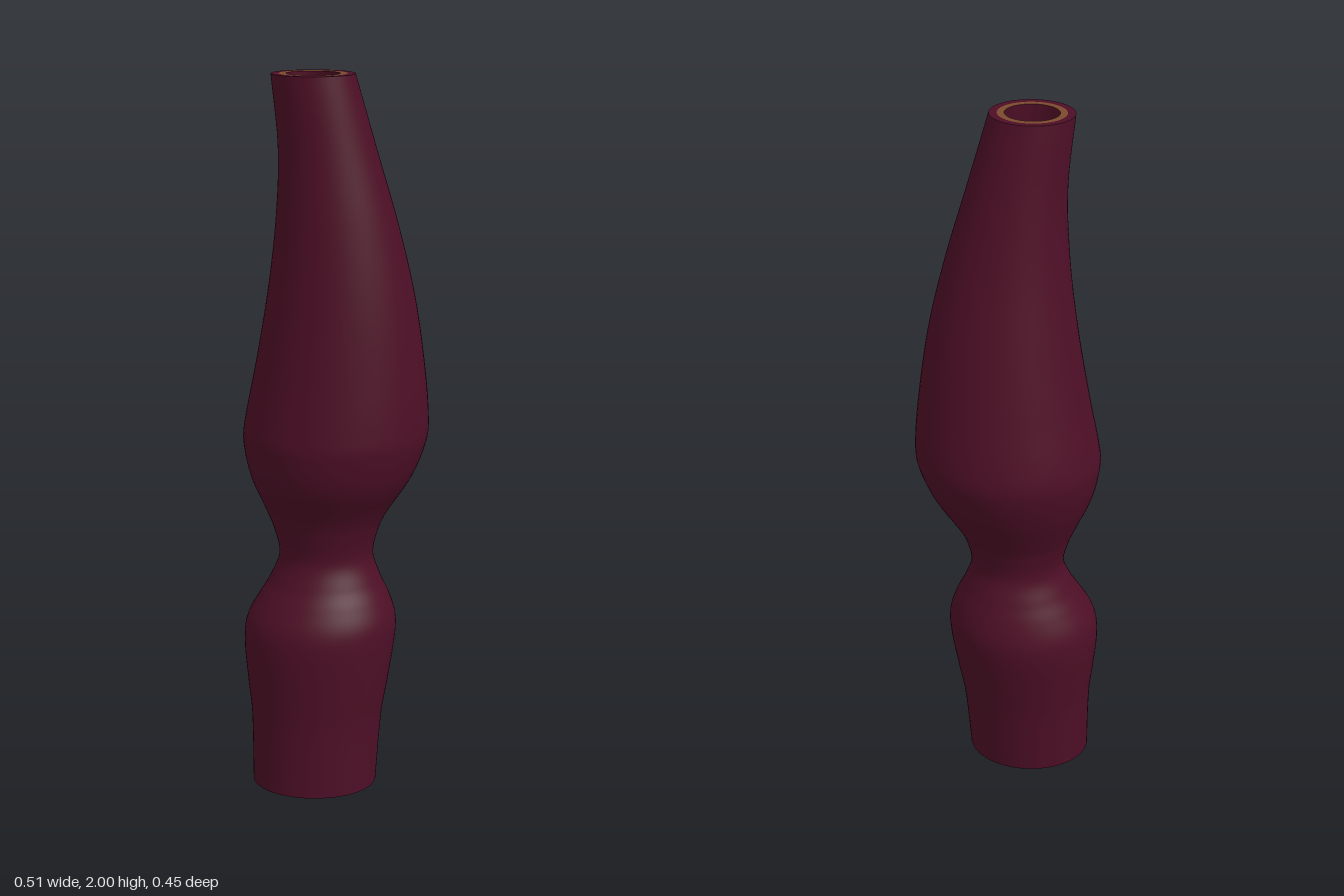
import * as THREE from 'three';

const maroon = new THREE.MeshStandardMaterial({ color: 0x4e0f26 });
maroon.name = 'dark maroon';
const tan = new THREE.MeshStandardMaterial({ color: 0x7c4a2e });
tan.name = 'tan core';

// Cross-sections: height, x min, x max, z min, z max, bore fraction
const SECTIONS = [
  [0.0, -0.235, 0.114, -0.102, 0.19, 0.64],
  [0.2, -0.238, 0.13, -0.127, 0.193, 0.64],
  [0.3, -0.248, 0.147, -0.145, 0.2, 0.63],
  [0.4, -0.257, 0.163, -0.163, 0.206, 0.62],
  [0.46, -0.255, 0.169, -0.168, 0.205, 0.61],
  [0.5, -0.243, 0.166, -0.163, 0.196, 0.6],
  [0.55, -0.214, 0.149, -0.149, 0.174, 0.57],
  [0.6, -0.184, 0.126, -0.13, 0.149, 0.54],
  [0.67, -0.158, 0.104, -0.108, 0.126, 0.52],
  [0.75, -0.175, 0.121, -0.122, 0.139, 0.54],
  [0.8, -0.195, 0.146, -0.143, 0.156, 0.57],
  [0.9, -0.237, 0.211, -0.191, 0.206, 0.62],
  [1.0, -0.256, 0.25, -0.223, 0.226, 0.64],
  [1.06, -0.25, 0.255, -0.224, 0.224, 0.64],
  [1.2, -0.222, 0.244, -0.199, 0.21, 0.64],
  [1.4, -0.187, 0.215, -0.16, 0.189, 0.64],
  [1.6, -0.162, 0.168, -0.119, 0.167, 0.64],
  [1.8, -0.153, 0.11, -0.084, 0.147, 0.64],
  [2.0, -0.17, 0.053, -0.052, 0.135, 0.64],
];
const SIDES = 64, STEPS = 8, CORE = 0.81;

// Slope of one column at a section, for smooth interpolation along the height
function slope(i, c) {
  const a = SECTIONS[Math.max(i - 1, 0)], b = SECTIONS[Math.min(i + 1, SECTIONS.length - 1)];
  return (b[c] - a[c]) / (b[0] - a[0]);
}

function sectionAt(i, t) {
  const a = SECTIONS[i], b = SECTIONS[i + 1], h = b[0] - a[0];
  const t2 = t * t, t3 = t2 * t;
  return a.map((v, c) => (2 * t3 - 3 * t2 + 1) * v + (t3 - 2 * t2 + t) * h * slope(i, c)
    + (3 * t2 - 2 * t3) * b[c] + (t3 - t2) * h * slope(i + 1, c));
}

// Elliptical loop of points, scaled about the section's centre
function ring([y, x0, x1, z0, z1], scale) {
  const points = [];
  for (let s = 0; s < SIDES; s++) {
    const a = (s / SIDES) * Math.PI * 2;
    points.push((x0 + x1) / 2 + Math.cos(a) * scale * (x1 - x0) / 2, y,
      (z0 + z1) / 2 + Math.sin(a) * scale * (z1 - z0) / 2);
  }
  return points;
}

// Skin joining consecutive loops
function loft(name, rings, material, flip = false) {
  const index = [];
  for (let r = 0; r < rings.length - 1; r++) {
    for (let s = 0; s < SIDES; s++) {
      const n = (s + 1) % SIDES;
      const a = r * SIDES + s, b = r * SIDES + n, c = a + SIDES, d = b + SIDES;
      if (flip) index.push(a, b, c, b, d, c);
      else index.push(a, c, b, b, c, d);
    }
  }
  const geometry = new THREE.BufferGeometry();
  geometry.setAttribute('position', new THREE.Float32BufferAttribute(rings.flat(), 3));
  geometry.setIndex(index);
  geometry.computeVertexNormals();
  const mesh = new THREE.Mesh(geometry, material);
  mesh.name = name;
  return mesh;
}

export function createModel() {
  const group = new THREE.Group();
  group.name = 'hollowTube';

  const rows = [];
  for (let i = 0; i < SECTIONS.length - 1; i++) {
    for (let k = 0; k < STEPS; k++) rows.push(sectionAt(i, k / STEPS));
  }
  const bottom = SECTIONS[0], top = SECTIONS[SECTIONS.length - 1];
  rows.push(top);

  // Outer wall and the bore running through it
  group.add(loft('outerWall', rows.map((r) => ring(r, 1)), maroon));
  group.add(loft('innerBore', rows.map((r) => ring(r, r[5])), maroon, true));

  // Cut ends: an outer maroon rim around a tan core layer
  for (const [end, section, flip] of [['top', top, false], ['bottom', bottom, true]]) {
    group.add(loft(end + 'Rim', [ring(section, 1), ring(section, CORE)], maroon, flip));
    group.add(loft(end + 'CoreRing', [ring(section, CORE), ring(section, section[5])], tan, flip));
  }
  return group;
}
